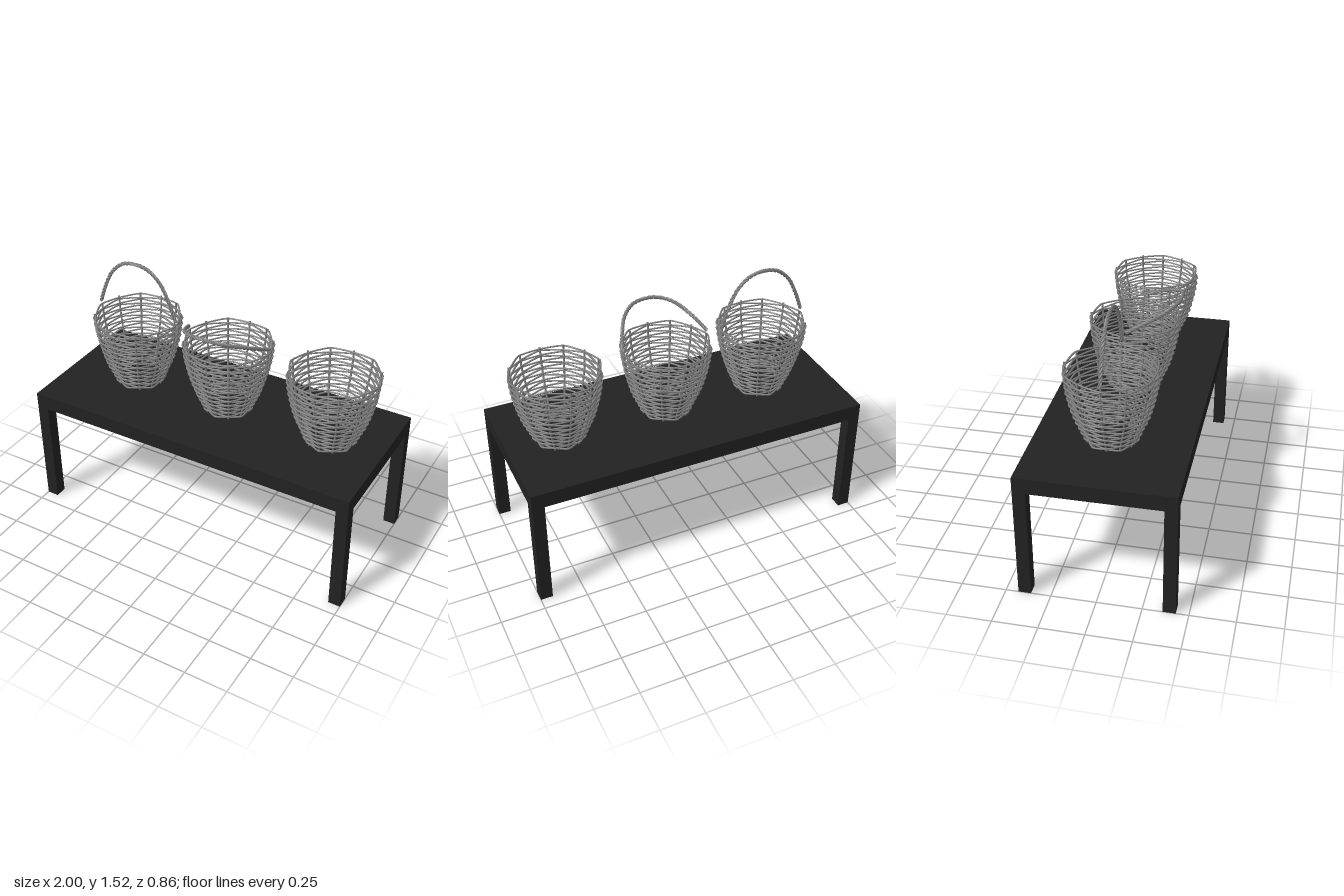
import * as THREE from 'three';

const wood = new THREE.MeshStandardMaterial({ color: 0x222222 });
const wicker = new THREE.MeshStandardMaterial({ color: 0x808080 });
const V = (x, y, z) => new THREE.Vector3(x, y, z);

function addMesh(parent, name, geometry, material) {
  const mesh = new THREE.Mesh(geometry, material);
  mesh.name = name;
  parent.add(mesh);
  return mesh;
}

function addBox(parent, name, size, position) {
  addMesh(parent, name, new THREE.BoxGeometry(...size), wood).position.set(...position);
}

// Table: slab, a frame hanging slightly below it, and four corner legs
function makeTable() {
  const table = new THREE.Group();
  table.name = 'table';
  const halfX = 1, halfZ = 0.43, top = 0.745, under = 0.655, leg = 0.07;
  addBox(table, 'tableTop', [2 * (halfX - leg), 0.06, 2 * (halfZ - leg)], [0, top - 0.03, 0]);
  for (const s of [-1, 1]) {
    addBox(table, 'longRail', [2 * halfX, top - under, leg], [0, (top + under) / 2, s * (halfZ - leg / 2)]);
    addBox(table, 'shortRail', [leg, top - under, 2 * (halfZ - leg)], [s * (halfX - leg / 2), (top + under) / 2, 0]);
    for (const t of [-1, 1]) {
      addBox(table, 'leg', [leg, under, leg], [s * (halfX - leg / 2), under / 2, t * (halfZ - leg / 2)]);
    }
  }
  return table;
}

// Basket wall: radius and height, measured from the table surface upwards
const wall = new THREE.CatmullRomCurve3(
  [[0.137, 0.762], [0.163, 0.83], [0.193, 0.9], [0.222, 1.0], [0.242, 1.1], [0.25, 1.195]]
    .map(([r, y]) => V(r, y, 0)));

const STAKES = 12, ROWS = 24, WEAVE = 0.008;

// Open basket: upright stakes with strands passing alternately inside and outside
function makeBasket() {
  const basket = new THREE.Group();
  basket.name = 'basket';
  const stakeGeometry = new THREE.TubeGeometry(wall, 16, 0.006, 6);
  for (let i = 0; i < STAKES; i++) {
    addMesh(basket, 'stake', stakeGeometry, wicker).rotation.y = i / STAKES * Math.PI * 2;
  }
  for (let row = 0; row < ROWS; row++) {
    const p = wall.getPointAt(0.015 + 0.965 * row / (ROWS - 1));
    const points = [];
    for (let i = 0; i < STAKES; i++) {
      const a = i / STAKES * Math.PI * 2;
      const r = p.x + ((i + row) % 2 ? WEAVE : -WEAVE);
      points.push(V(r * Math.cos(a), p.y, r * Math.sin(a)));
    }
    const strand = new THREE.CatmullRomCurve3(points, true, 'catmullrom', 0.25);
    addMesh(basket, 'wovenStrand', new THREE.TubeGeometry(strand, 72, 0.0052, 6, true), wicker);
  }
  return basket;
}

// Handle: three strands twisted round an arch that starts at the rim
function makeHandle() {
  const handle = new THREE.Group();
  handle.name = 'handle';
  const arch = new THREE.CatmullRomCurve3(
    [[-0.255, 0], [-0.215, 0.11], [-0.16, 0.215], [-0.085, 0.28], [0, 0.297],
      [0.085, 0.28], [0.16, 0.215], [0.215, 0.11], [0.255, 0]].map(([x, y]) => V(x, y, 0)));
  const STEPS = 150, TURNS = 11;
  for (let s = 0; s < 3; s++) {
    const points = [];
    for (let i = 0; i <= STEPS; i++) {
      const t = i / STEPS, a = (t * TURNS + s / 3) * Math.PI * 2;
      const p = arch.getPointAt(t), d = arch.getTangentAt(t);
      const c = 0.0055 * Math.cos(a);
      points.push(V(p.x - d.y * c, p.y + d.x * c, 0.0055 * Math.sin(a)));
    }
    addMesh(handle, 'handleStrand',
      new THREE.TubeGeometry(new THREE.CatmullRomCurve3(points), 200, 0.0058, 6), wicker);
  }
  return handle;
}

export function createModel() {
  const model = new THREE.Group();
  model.name = 'basketsOnTable';
  model.add(makeTable());

  // Handle tilt: upright, lowered to the front, none
  const layout = [[-0.553, 0], [0.045, 1.13], [0.69, null]];
  for (const [x, tilt] of layout) {
    const basket = makeBasket();
    basket.position.set(x, 0, -0.005);
    if (tilt !== null) {
      const handle = makeHandle();
      handle.position.y = 1.212;
      handle.rotation.x = tilt;
      basket.add(handle);
    }
    model.add(basket);
  }
  return model;
}
